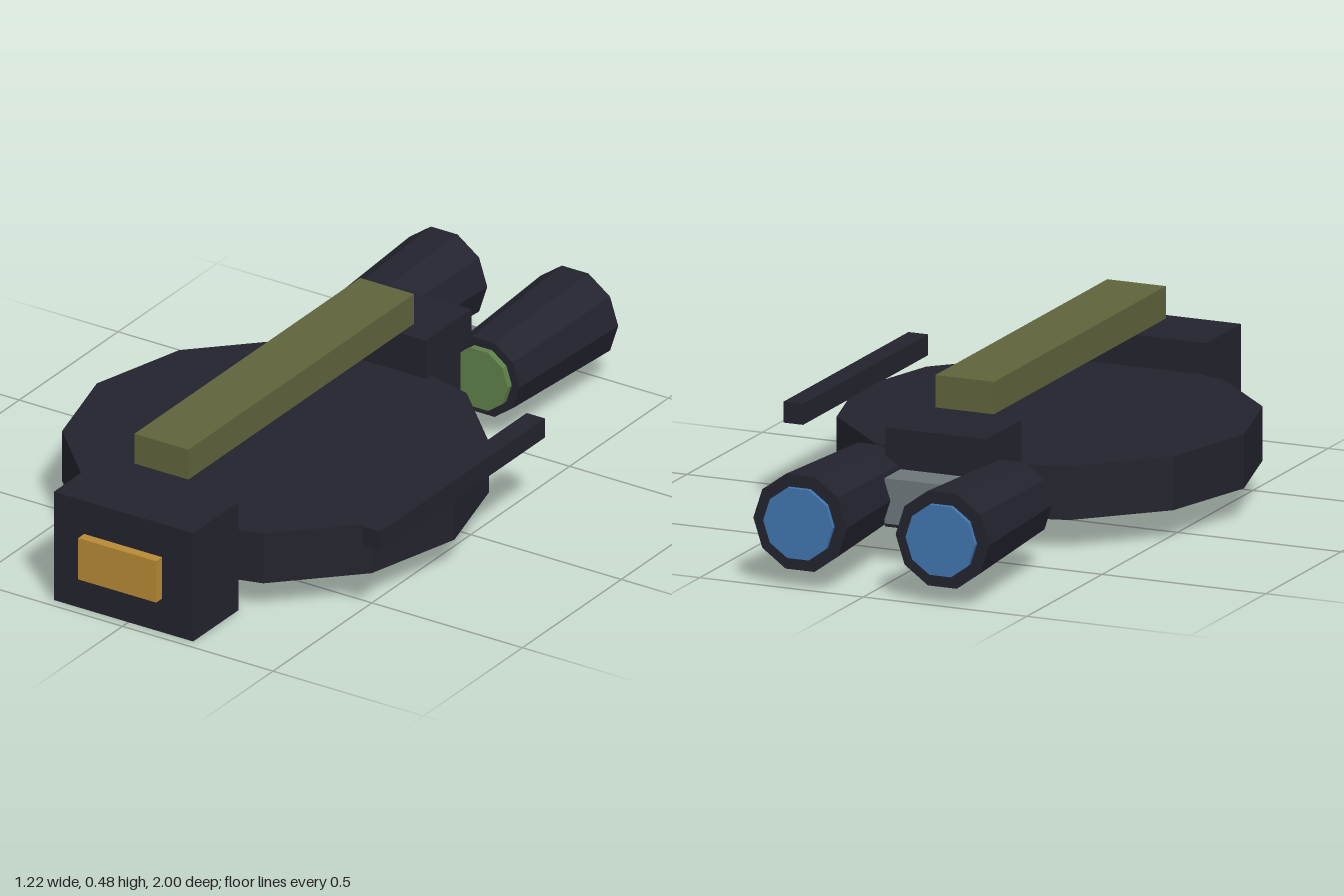
import * as THREE from 'three';

const mat = (name, color) => {
  const m = new THREE.MeshStandardMaterial({ color, flatShading: true });
  m.name = name;
  return m;
};

export function createModel() {
  const hull = mat('dark hull', 0x23232e);
  const olive = mat('olive', 0x5f643c);
  const amber = mat('amber', 0xb88a36);
  const blue = mat('blue glow', 0x3f75ae);
  const green = mat('green intake', 0x5f8049);
  const grey = mat('grey metal', 0x6e767a);
  const group = new THREE.Group();

  const add = (name, geometry, material) => {
    const mesh = new THREE.Mesh(geometry, material);
    mesh.name = name;
    group.add(mesh);
    return mesh;
  };
  // Box given by its extents on each axis
  const box = (name, material, [x0, x1], [y0, y1], [z0, z1]) =>
    add(name, new THREE.BoxGeometry(x1 - x0, y1 - y0, z1 - z0), material)
      .position.set((x0 + x1) / 2, (y0 + y1) / 2, (z0 + z1) / 2);
  // Ten-sided drum lying along z
  const drum = (name, material, x, rFront, rBack, z0, z1) => {
    const g = new THREE.CylinderGeometry(rFront, rBack, z1 - z0, 10, 1, false, Math.PI / 2);
    add(name, g.rotateX(Math.PI / 2), material).position.set(x, 0.187, (z0 + z1) / 2);
  };

  // Saucer body
  add('saucer', new THREE.CylinderGeometry(0.594, 0.594, 0.155, 12), hull)
    .position.set(-0.017, 0.168, 0.2);

  // Cockpit block and window
  box('cockpit', hull, [-0.248, 0.215], [0, 0.337], [0.74, 0.97]);
  box('window', amber, [-0.147, 0.112], [0.105, 0.234], [0.96, 1]);

  // Top beam and side rail
  box('topBeam', olive, [-0.106, 0.073], [0.383, 0.476], [-0.363, 0.778]);
  box('sideRail', hull, [0.548, 0.608], [0.243, 0.303], [-0.21, 0.62]);

  // Rear block and engine coupling
  box('rearBlock', hull, [-0.172, 0.138], [0.08, 0.365], [-0.555, -0.325]);
  box('coupling', grey, [-0.125, 0.091], [0.12, 0.25], [-0.663, -0.55]);

  // Twin engines with intake and exhaust discs
  for (const [side, x] of [['right', -0.235], ['left', 0.2]]) {
    drum(side + 'Engine', hull, x, 0.121, 0.143, -0.985, -0.52);
    drum(side + 'Intake', green, x, 0.095, 0.095, -0.54, -0.5);
    drum(side + 'Exhaust', blue, x, 0.106, 0.106, -1, -0.97);
  }
  return group;
}
